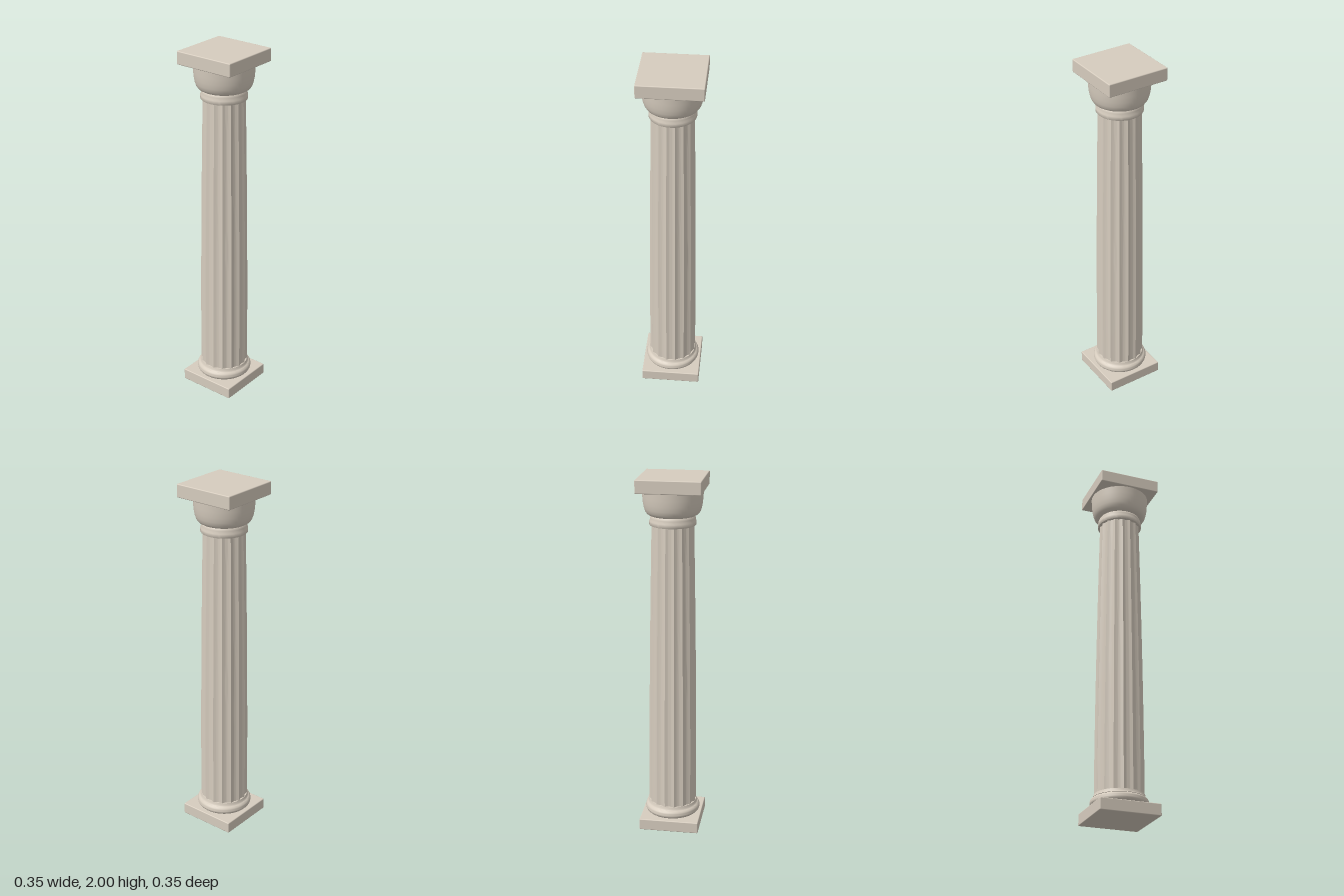
import * as THREE from 'three';
import { toCreasedNormals } from 'three/addons/utils/BufferGeometryUtils.js';
import { RoundedBoxGeometry } from 'three/addons/geometries/RoundedBoxGeometry.js';

const FLUTES = 16;

export function createModel() {
  const group = new THREE.Group();
  const stone = new THREE.MeshStandardMaterial({ color: 0xd6ccbe });
  stone.name = 'pale stone';

  const add = (name, geometry) => {
    const mesh = new THREE.Mesh(geometry, stone);
    mesh.name = name;
    group.add(mesh);
    return mesh;
  };
  const slab = (name, width, y0, y1) => {
    add(name, new RoundedBoxGeometry(width, y1 - y0, width, 2, 0.005)).position.y = (y0 + y1) / 2;
  };
  const lathe = (profile, segments) =>
    new THREE.LatheGeometry(profile.map(([r, y]) => new THREE.Vector2(r, y)), segments);
  const turned = (name, profile) => add(name, toCreasedNormals(lathe(profile, 64), 0.7));

  // square plinth and abacus
  slab('plinth', 0.334, 0, 0.065);
  slab('abacus', 0.346, 1.928, 2);

  // rounded base moulding
  const base = [[0, 0.064], [0.138, 0.064]];
  for (let i = 0; i <= 10; i++) {
    const a = -Math.PI / 2 + (i / 10) * Math.PI;
    base.push([0.131 + 0.024 * Math.cos(a), 0.092 + 0.025 * Math.sin(a)]);
  }
  base.push([0.141, 0.117], [0.137, 0.124], [0.134, 0.136], [0.12, 0.136], [0, 0.136]);
  turned('baseMoulding', base);

  // tapering shaft, swelling gently, with concave flutes meeting at sharp ridges
  const shaftProfile = [];
  for (let i = 0; i <= 20; i++) {
    const t = i / 20;
    shaftProfile.push([0.134 - 0.021 * Math.pow(t, 1.7), 0.12 + t * 1.63]);
  }
  const shaft = lathe(shaftProfile, FLUTES * 8);
  const p = shaft.attributes.position;
  for (let i = 0; i < p.count; i++) {
    const x = p.getX(i), z = p.getZ(i);
    const k = 1 - 0.065 * Math.abs(Math.cos(Math.atan2(x, z) * FLUTES / 2));
    p.setX(i, x * k);
    p.setZ(i, z * k);
  }
  add('flutedShaft', toCreasedNormals(shaft, 0.5));

  // neck ring below the capital
  turned('neckRing', [
    [0, 1.74], [0.123, 1.74], [0.125, 1.743], [0.125, 1.762], [0.121, 1.769],
    [0.122, 1.778], [0.118, 1.788], [0.112, 1.797], [0, 1.797],
  ]);

  // bowl-shaped capital
  turned('echinus', [
    [0, 1.791], [0.112, 1.791], [0.126, 1.794], [0.138, 1.801], [0.147, 1.814],
    [0.153, 1.832], [0.158, 1.858], [0.161, 1.89], [0.163, 1.93], [0, 1.93],
  ]);

  return group;
}
